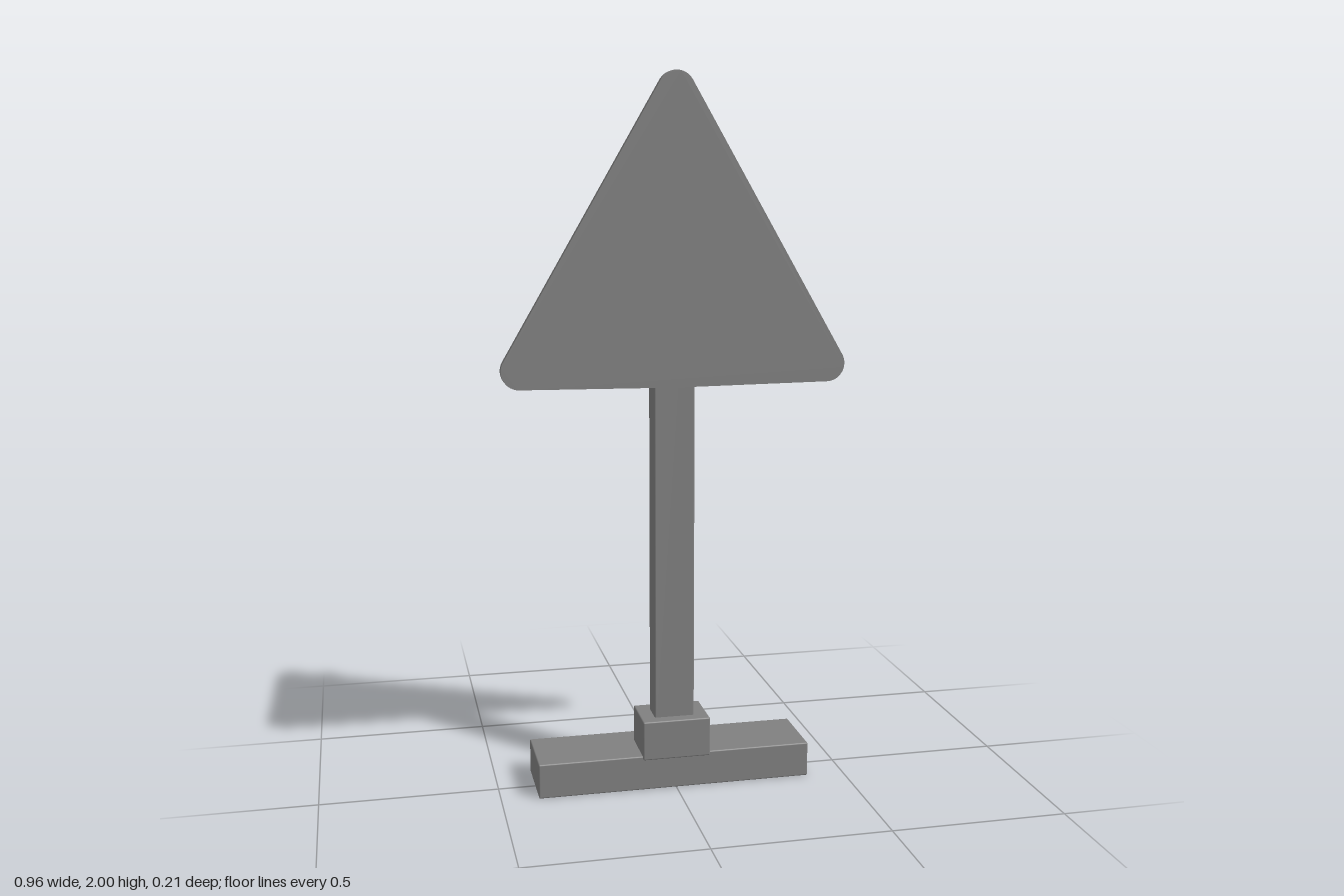
import * as THREE from 'three';
import { RoundedBoxGeometry } from 'three/addons/geometries/RoundedBoxGeometry.js';

export function createModel() {
  const model = new THREE.Group();
  model.name = 'triangularRoadSign';
  const grey = new THREE.MeshStandardMaterial({ color: 0x808080 });
  grey.name = 'grey';

  const add = (name, geometry) => {
    const mesh = new THREE.Mesh(geometry, grey);
    mesh.name = name;
    model.add(mesh);
    return mesh;
  };

  // Box with slightly softened edges, given by its lower and upper corners
  const addBlock = (name, [x0, y0, z0], [x1, y1, z1]) => {
    const geometry = new RoundedBoxGeometry(x1 - x0, y1 - y0, z1 - z0, 2, 0.004);
    add(name, geometry).position.set((x0 + x1) / 2, (y0 + y1) / 2, (z0 + z1) / 2);
  };

  // Foot, collar and post
  addBlock('base', [-0.395, 0, -0.108], [0.392, 0.1, 0.094]);
  addBlock('collar', [-0.098, 0.092, -0.039], [0.096, 0.205, 0.106]);
  addBlock('post', [-0.058, 0.19, -0.003], [0.056, 1.832, 0.073]);

  // Triangular plate with rounded corners and a very slightly bowed lower edge
  const r = 0.05;
  const slant = Math.PI / 6;
  const down = -Math.PI / 2;
  const shape = new THREE.Shape();
  shape.moveTo(0, 1.155);
  shape.lineTo(0.43, 1.16);
  shape.absarc(0.43, 1.21, r, down, slant, false);
  shape.absarc(0, 1.95, r, slant, Math.PI - slant, false);
  shape.absarc(-0.43, 1.21, r, Math.PI - slant, Math.PI * 1.5, false);
  shape.closePath();
  const plate = new THREE.ExtrudeGeometry(shape, { depth: 0.023, bevelEnabled: false, curveSegments: 10 });
  add('signPlate', plate).position.z = 0.071;

  return model;
}
